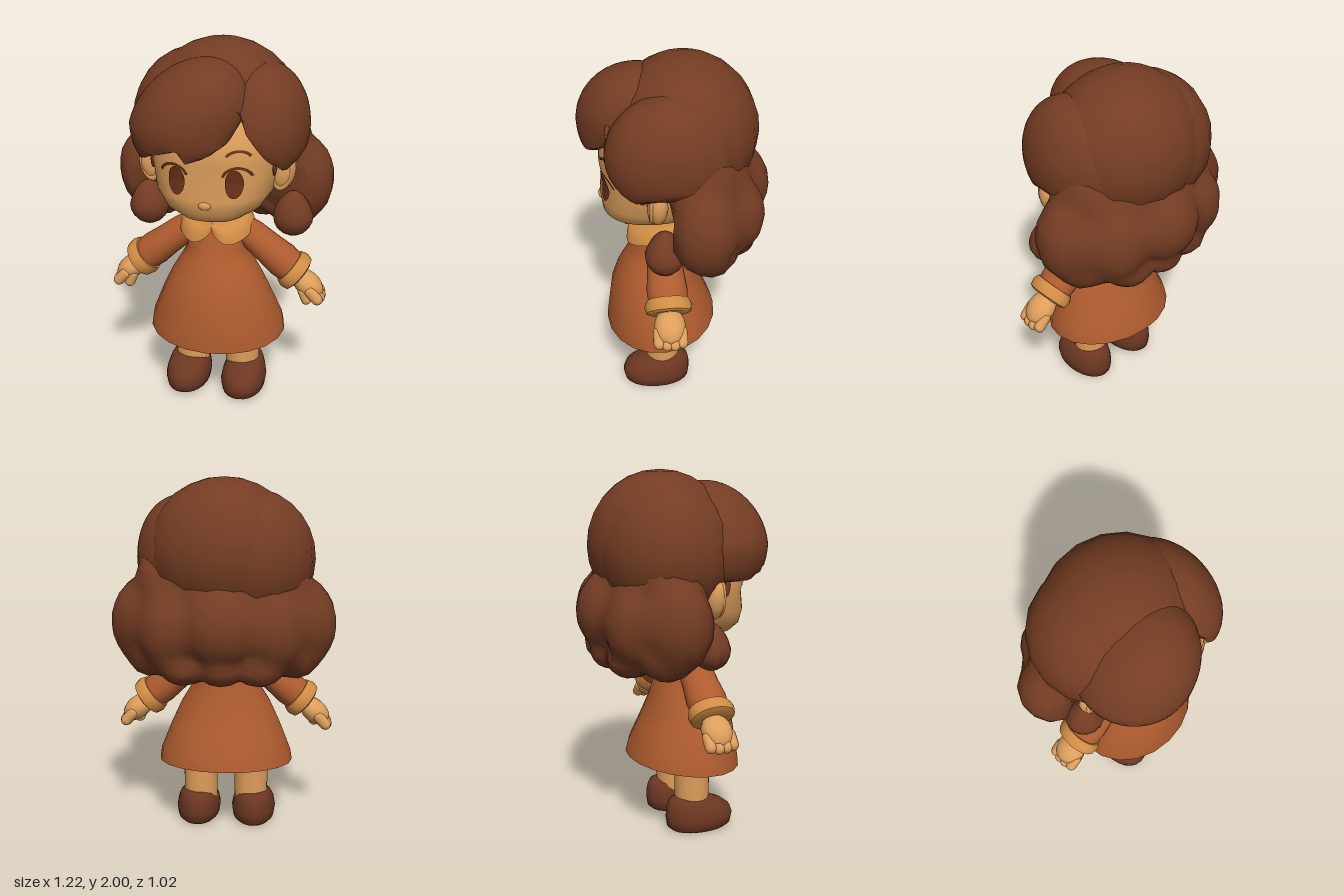
import * as THREE from 'three';
import { toCreasedNormals } from 'three/addons/utils/BufferGeometryUtils.js';
import { ParametricGeometry } from 'three/addons/geometries/ParametricGeometry.js';

const paint = (name, color) => Object.assign(new THREE.MeshStandardMaterial({ color }), { name });

// Piecewise linear lookup in [key, value] pairs
function lookup(table, key) {
  if (key <= table[0][0]) return table[0][1];
  for (let i = 1; i < table.length; i++) {
    const [k0, v0] = table[i - 1], [k1, v1] = table[i];
    if (key <= k1) return v0 + (v1 - v0) * (key - k0) / (k1 - k0);
  }
  return table[table.length - 1][1];
}

// Closed body from horizontal rings [y, half width, front z, back z]
function loft(rings, n = 20, e = 2, crease = 0.8) {
  const pos = [], index = [];
  const power = c => Math.sign(c) * Math.abs(c) ** (2 / e);
  for (const [y, rx, zf, zb] of rings) {
    for (let j = 0; j < n; j++) {
      const a = j / n * Math.PI * 2;
      pos.push(rx * power(Math.cos(a)), y, (zf + zb) / 2 + (zf - zb) / 2 * power(Math.sin(a)));
    }
  }
  const last = (rings.length - 1) * n, bottom = rings.length * n;
  for (const r of [rings[0], rings[rings.length - 1]]) pos.push(0, r[0], (r[2] + r[3]) / 2);
  for (let j = 0; j < n; j++) {
    const k = (j + 1) % n;
    for (let i = 0; i < last; i += n) index.push(i + j, i + n + j, i + n + k, i + j, i + n + k, i + k);
    index.push(bottom, j, k, bottom + 1, last + k, last + j);
  }
  const geo = new THREE.BufferGeometry();
  geo.setAttribute('position', new THREE.Float32BufferAttribute(pos, 3));
  geo.setIndex(index);
  return toCreasedNormals(geo, crease);
}

// Move every vertex by a rule
function reshape(geo, rule) {
  const p = geo.attributes.position, v = new THREE.Vector3();
  for (let i = 0; i < p.count; i++) {
    rule(v.fromBufferAttribute(p, i));
    p.setXYZ(i, v.x, v.y, v.z);
  }
  geo.computeVertexNormals();
  return geo;
}

// One soft skin around many overlapping ellipsoids [x, y, z, rx, ry, rz]
function softBlend(center, blobs, w, h) {
  const inside = p => blobs.reduce((sum, [x, y, z, rx, ry, rz]) => {
    const q = ((p.x - x) / rx) ** 2 + ((p.y - y) / ry) ** 2 + ((p.z - z) / rz) ** 2;
    return sum + Math.exp(6 * (1 - q));
  }, 0) >= 1;
  const p = new THREE.Vector3();
  const geo = reshape(new THREE.SphereGeometry(1, w, h), v => {
    let t = 0.8;
    while (t > 0.05 && !inside(p.copy(v).multiplyScalar(t).add(center))) t -= 0.004;
    v.copy(p);
  });
  return toCreasedNormals(geo, 1.2);
}

const HEAD = [
  [1.10, 0.10, 0.31, 0.0], [1.12, 0.18, 0.36, -0.08], [1.17, 0.26, 0.40, -0.14],
  [1.25, 0.315, 0.41, -0.19], [1.35, 0.335, 0.395, -0.22], [1.44, 0.345, 0.41, -0.22],
  [1.55, 0.34, 0.40, -0.22], [1.70, 0.28, 0.33, -0.18], [1.80, 0.15, 0.22, -0.08]
];
function faceZ(x, y) {
  const [rx, zf, zb] = [1, 2, 3].map(c => lookup(HEAD.map(r => [r[0], r[c]]), y));
  const t = Math.max(0, 1 - Math.abs(x / rx) ** 2.4) ** (1 / 2.4);
  return (zf + zb) / 2 + (zf - zb) / 2 * t;
}

export function createModel() {
  const model = new THREE.Group();
  model.name = 'doll';
  const hair = paint('hair brown', 0x743c23);
  const skin = paint('skin', 0xde9f5c);
  const dress = paint('dress rust', 0xae5b2e);
  const trim = paint('trim ochre', 0xd08c45);
  const shoe = paint('shoe brown', 0x6c3722);
  const eye = paint('eye brown', 0x6b3218);
  trim.side = THREE.DoubleSide;

  const add = (name, geo, mat, parent = model) => {
    const mesh = new THREE.Mesh(geo, mat);
    mesh.name = name;
    parent.add(mesh);
    return mesh;
  };
  const blob = (name, mat, c, r, parent = model, w = 14, h = 10) => {
    const geo = new THREE.SphereGeometry(1, w, h).scale(...r).translate(...c);
    return add(name, geo, mat, parent);
  };

  // Head, neck and nose
  add('head', loft(HEAD, 40, 2.4, 1.2), skin);
  add('neck', new THREE.CylinderGeometry(0.09, 0.1, 0.14, 20).translate(0, 1.09, 0.11), skin);
  blob('nose', skin, [0, 1.225, 0.4], [0.035, 0.025, 0.02]);

  // Face details laid on the curve of the face
  const decal = (name, geo, mat, lift) => add(name, reshape(geo, v => { v.z = faceZ(v.x, v.y) + lift; }), mat);
  const arc = (r0, r1, a0, a1, sx, sy, x, y) =>
    new THREE.RingGeometry(r0, r1, 14, 1, a0, a1 - a0).scale(sx, sy, 1).translate(x, y, 0);
  for (const s of [-1, 1]) {
    decal('eye', new THREE.CircleGeometry(1, 24).scale(0.046, 0.078, 1).translate(s * 0.15, 1.35, 0), eye, 0.007);
    decal('eyelash', arc(0.82, 1, 0.35, Math.PI - 0.35, 0.085, 0.085, s * 0.165, 1.36), eye, 0.005);
    decal('eyebrow', arc(0.8, 1, 0.6, Math.PI - 0.6, 0.08, 0.07, s * 0.17, 1.46), eye, 0.005);
    blob('sideburn', hair, [s * 0.325, 1.41, 0.2], [0.012, 0.07, 0.035]);
    // Ears with a raised rim, leaning outward at the top
    const ear = new THREE.Group();
    ear.name = s > 0 ? 'leftEar' : 'rightEar';
    ear.position.set(s * 0.36, 1.345, 0.13);
    ear.rotation.z = s * -0.2;
    model.add(ear);
    blob('earShell', skin, [0, 0, 0], [0.065, 0.11, 0.055], ear);
    add('earRim', new THREE.TorusGeometry(0.05, 0.014, 8, 20).scale(0.85, 1.6, 1).translate(0, 0, 0.03), skin, ear);
  }

  // Crown of hair
  const hairdo = new THREE.Group();
  hairdo.name = 'hair';
  model.add(hairdo);
  blob('crown', hair, [0, 1.6, -0.04], [0.42, 0.4, 0.395], hairdo, 18, 14);
  blob('crownSide', hair, [-0.13, 1.57, -0.05], [0.36, 0.375, 0.36], hairdo, 18, 14);

  // Swept fringe locks: rounded masses leaning inward, cut off below by a zigzag edge
  const lock = (name, c, r, lean, edge) => {
    const geo = new THREE.SphereGeometry(1, 44, 28).scale(...r).translate(...c);
    reshape(geo, v => {
      v.x += lean * Math.max(0, v.y - c[1]);
      v.y = Math.max(v.y, lookup(edge, v.x));
    });
    add(name, toCreasedNormals(geo, 0.9), hair, hairdo);
  };
  lock('fringe', [-0.12, 1.61, 0.2], [0.315, 0.33, 0.315], 0.27, [
    [-0.45, 1.5], [-0.4, 1.45], [-0.36, 1.43], [-0.25, 1.5], [-0.1, 1.545], [-0.08, 1.47],
    [0.02, 1.5], [0.12, 1.57], [0.18, 1.68], [0.21, 1.76]]);
  lock('sideLock', [0.24, 1.57, 0.05], [0.242, 0.33, 0.335], 0, [
    [0.16, 1.74], [0.2, 1.62], [0.3, 1.48], [0.385, 1.385], [0.44, 1.43], [0.49, 1.5]]);

  // Wavy hair round the back and sides, as one flowing mass of curls
  const curls = [
    [0, 1.4, -0.17, 0.41, 0.26, 0.22], [0, 1.12, -0.19, 0.36, 0.13, 0.13],
    [0, 1.25, -0.3, 0.22, 0.23, 0.21], [0, 1.03, -0.31, 0.13, 0.1, 0.13]
  ];
  for (const s of [-1, 1]) {
    curls.push(
      [s * 0.36, 1.45, -0.09, 0.11, 0.2, 0.18], [s * 0.44, 1.23, -0.1, 0.17, 0.24, 0.18],
      [s * 0.27, 1.22, -0.25, 0.175, 0.23, 0.19], [s * 0.2, 1.025, -0.28, 0.135, 0.1, 0.13],
      [s * 0.38, 1.05, -0.14, 0.14, 0.115, 0.14]);
    // Small curls hanging in front of the shoulders, drawn up to a point
    const front = reshape(new THREE.SphereGeometry(1, 14, 10), v => {
      if (v.y > 0) v.multiply(new THREE.Vector3(1 - 0.25 * v.y, 1.2, 1 - 0.25 * v.y));
    });
    front.scale(0.11, 0.115, 0.105).translate(s * 0.4 + 0.015, 1.09, 0.1);
    add('frontCurl', front, hair, hairdo);
  }
  add('backCurls', softBlend(new THREE.Vector3(0, 1.22, -0.14), curls, 48, 32), hair, hairdo);

  // Dress with a hem that dips at the front
  const gown = loft([
    [0.378, 0.385, 0.405, -0.225], [0.44, 0.375, 0.4, -0.21], [0.6, 0.31, 0.375, -0.15],
    [0.72, 0.255, 0.335, -0.1], [0.82, 0.195, 0.285, -0.075], [0.88, 0.165, 0.25, -0.055],
    [0.95, 0.17, 0.235, -0.045], [1.02, 0.165, 0.205, -0.03], [1.06, 0.13, 0.15, 0], [1.08, 0.08, 0.12, 0.03]
  ], 20);
  reshape(gown, v => { if (v.y < 0.5) v.y -= 0.08 * (v.z - 0.09); });
  add('dress', toCreasedNormals(gown, 0.8), dress);

  // Round collar, notched and dipping at the front
  add('collar', new ParametricGeometry((u, t, p) => {
    const a = u * Math.PI * 2, open = Math.min(a, Math.PI * 2 - a);
    const l = t * (0.5 + 0.5 * Math.sin(Math.min(1, open / 0.6) * Math.PI / 2));
    const puff = 0.02 * Math.sin(Math.PI * t);
    p.set(Math.sin(a) * (0.095 + 0.11 * l + puff),
      1.085 - l * (0.075 + 0.065 * Math.cos(a)) + puff - 0.03 * (1 - t) * Math.max(0, Math.cos(a)),
      0.1 + Math.cos(a) * (0.105 + 0.095 * l + puff));
  }, 56, 6), trim);

  // Arms, built along their own y axis
  const lathe = points => toCreasedNormals(
    new THREE.LatheGeometry(points.map(p => new THREE.Vector2(...p)), 18).scale(1, 1, 1.15), 0.9);
  for (const s of [-1, 1]) {
    const arm = new THREE.Group();
    arm.name = s > 0 ? 'leftArm' : 'rightArm';
    arm.position.set(s * 0.13, 1.0, 0.085);
    arm.quaternion.setFromUnitVectors(new THREE.Vector3(0, 1, 0), new THREE.Vector3(s * 0.775, -0.633, 0).normalize());
    model.add(arm);
    add('sleeve', lathe([[0, 0], [0.065, 0], [0.08, 0.08], [0.087, 0.2], [0.096, 0.3], [0.09, 0.37], [0, 0.37]]), dress, arm);
    add('cuff', lathe([[0.08, 0.35], [0.1, 0.352], [0.112, 0.385], [0.106, 0.42], [0.085, 0.43], [0, 0.42]]), trim, arm);
    blob('palm', skin, [s * 0.01, 0.495, 0], [0.065, 0.1, 0.085], arm);
    for (let i = 0; i < 4; i++) {
      const finger = add('finger', new THREE.CapsuleGeometry(0.032, 0.06, 4, 10), skin, arm);
      finger.position.set(s * 0.015, 0.568 - Math.abs(i - 1.4) * 0.01, -0.06 + i * 0.041);
      finger.rotation.z = s * -0.15;
    }
    const thumb = add('thumb', new THREE.CapsuleGeometry(0.03, 0.05, 4, 10), skin, arm);
    thumb.position.set(s * 0.055, 0.52, 0.05);
    thumb.rotation.z = s * -0.5;

    // Legs and shoes
    add('leg', new THREE.CylinderGeometry(0.1, 0.096, 0.32, 20).translate(s * 0.147, 0.29, 0.095), skin);
    add('shoe', loft([
      [0, 0.1, 0.29, -0.03], [0.02, 0.12, 0.32, -0.055], [0.07, 0.128, 0.33, -0.062],
      [0.115, 0.12, 0.315, -0.06], [0.15, 0.108, 0.27, -0.053], [0.175, 0.092, 0.21, -0.04], [0.19, 0.065, 0.17, -0.01]
    ], 24, 2.1, 1.0).translate(s * 0.163, 0, 0), shoe);
  }
  return model;
}
